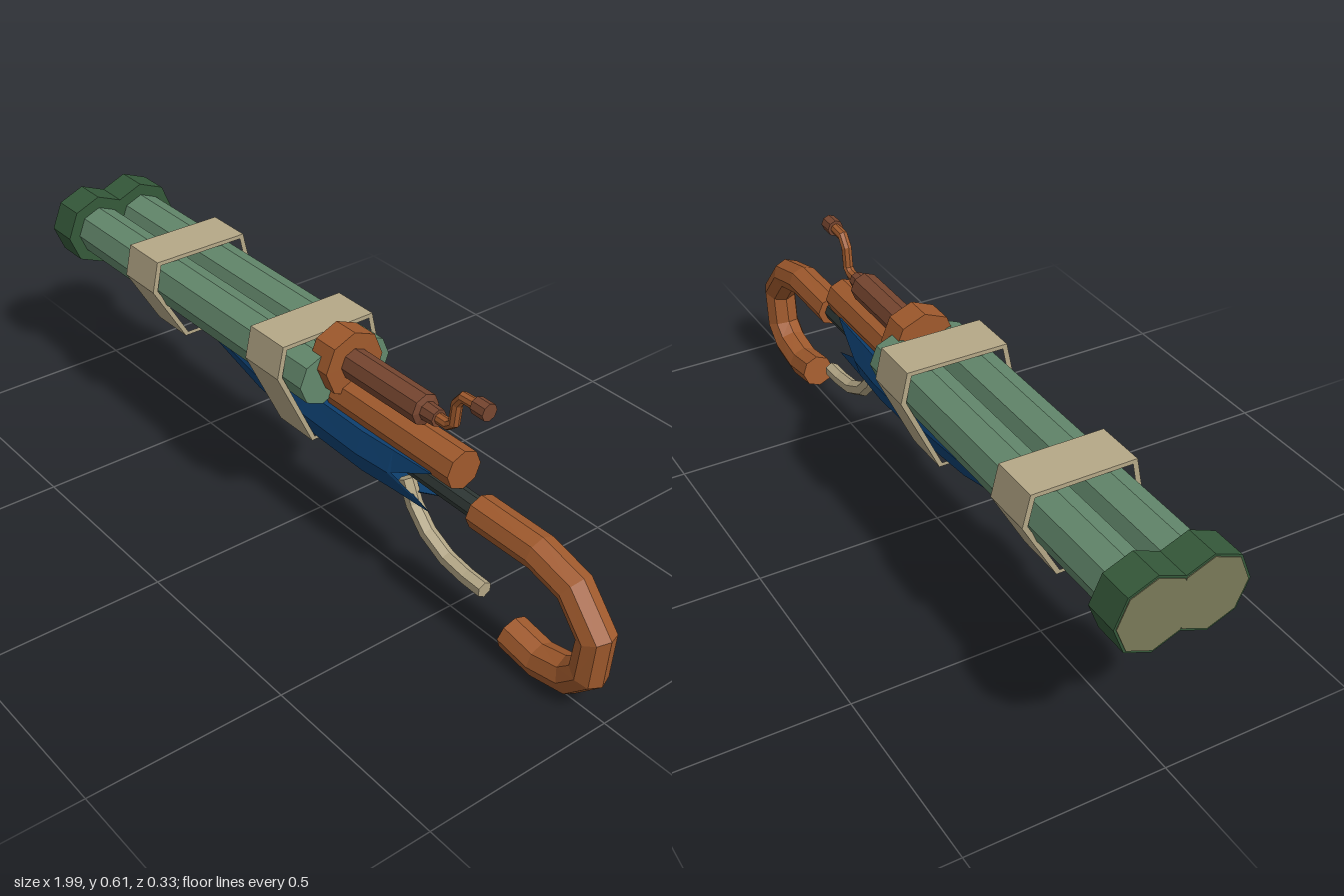
import * as THREE from 'three';

const mat = (name, color, side = THREE.FrontSide) => {
  const m = new THREE.MeshStandardMaterial({ color, flatShading: true, side });
  m.name = name;
  return m;
};

// Skins a list of equal-length rings, with optional flat ends
function loft(rings, capStart = true, capEnd = true) {
  const pos = [], n = rings[0].length;
  const tri = (...ps) => ps.forEach(p => pos.push(p.x, p.y, p.z));
  for (let i = 0; i < rings.length - 1; i++) {
    for (let j = 0; j < n; j++) {
      const k = (j + 1) % n, a = rings[i], b = rings[i + 1];
      tri(a[j], a[k], b[k]);
      tri(a[j], b[k], b[j]);
    }
  }
  const cap = (ring, flip) => {
    const c = ring.reduce((s, p) => s.add(p), new THREE.Vector3()).divideScalar(n);
    for (let j = 0; j < n; j++) {
      const p = ring[j], q = ring[(j + 1) % n];
      flip ? tri(c, q, p) : tri(c, p, q);
    }
  };
  if (capStart) cap(rings[0], true);
  if (capEnd) cap(rings[rings.length - 1], false);
  const g = new THREE.BufferGeometry();
  g.setAttribute('position', new THREE.Float32BufferAttribute(pos, 3));
  g.computeVertexNormals();
  return g;
}

// Rings along a path of [x, y, radius in plane, radius across]
function pathRings(path, sides = 8, turn = 0) {
  return path.map(([x, y, rn, rz = rn], i) => {
    const a = path[Math.max(i - 1, 0)], b = path[Math.min(i + 1, path.length - 1)];
    const t = new THREE.Vector2(b[0] - a[0], b[1] - a[1]).normalize();
    return Array.from({ length: sides }, (_, j) => {
      const u = turn + j / sides * Math.PI * 2, c = Math.cos(u) * rn;
      return new THREE.Vector3(x - t.y * c, y + t.x * c, Math.sin(u) * rz);
    });
  });
}

export function createModel() {
  const group = new THREE.Group();
  const green = mat('barrelGreen', 0x63886c);
  const darkGreen = mat('capGreen', 0x35593a);
  const olive = mat('muzzleOlive', 0x7a7a58);
  const wood = mat('wood', 0xa05a2d);
  const darkWood = mat('darkWood', 0x774630);
  const tan = mat('strapTan', 0xb5a887);
  const blue = mat('canopyBlue', 0x0e4172, THREE.DoubleSide);
  const dark = mat('shaftDark', 0x2f3835);

  const add = (name, geo, material, z = 0) => {
    const m = new THREE.Mesh(geo, material);
    m.name = name;
    m.position.z = z;
    group.add(m);
    return m;
  };
  const sweep = (name, path, material, sides = 8, z = 0) =>
    add(name, loft(pathRings(path, sides)), material, z);

  // Twin barrels with muzzle caps
  for (const [side, z] of [['left', 0.068], ['right', -0.068]]) {
    sweep(side + 'Barrel', [[-0.95, 0.46, 0.067], [0.095, 0.46, 0.067]], green, 8, z);
    sweep(side + 'MuzzleCap', [[-0.998, 0.46, 0.099], [-0.91, 0.46, 0.099]], darkGreen, 8, z);
    sweep(side + 'MuzzleFace', [[-1, 0.46, 0.093], [-0.997, 0.46, 0.093]], olive, 8, z);
  }

  // Straps wrapped around barrels and umbrella
  const loop = (half, Type) => new Type([
    ...half, ...half.slice().reverse().map(([x, y]) => [-x, y]),
  ].map(p => new THREE.Vector2(...p)));
  for (const [name, x, low, w] of [['frontStrap', -0.64, 0.3, 0.06], ['rearStrap', -0.1, 0.245, 0.05]]) {
    const shape = loop([[0.135, 0.542], [0.153, 0.46], [w, low]], THREE.Shape);
    shape.holes.push(loop([[0.124, 0.531], [0.139, 0.461], [w - 0.008, low + 0.01]], THREE.Path));
    const geo = new THREE.ExtrudeGeometry(shape, { depth: 0.13, bevelEnabled: false });
    geo.rotateY(Math.PI / 2).translate(x, 0, 0);
    add(name, geo, tan);
  }

  // Crank assembly
  sweep('crankPlate', [[0.06, 0.495, 0.085], [0.13, 0.495, 0.085]], wood);
  sweep('crankHousing', [[0.13, 0.497, 0.04], [0.385, 0.497, 0.04], [0.39, 0.497, 0.024],
    [0.43, 0.497, 0.022]], darkWood);
  sweep('crankArm', [[0.42, 0.497, 0.014], [0.462, 0.497, 0.014], [0.48, 0.51, 0.014],
    [0.486, 0.565, 0.014], [0.505, 0.59, 0.014], [0.56, 0.592, 0.014]], wood);
  sweep('crankKnob', [[0.548, 0.592, 0.022], [0.588, 0.592, 0.022]], darkWood);
  sweep('stock', [[0.08, 0.405, 0.05], [0.52, 0.405, 0.05]], wood);

  // Folded umbrella: dark tip and shaft, blue canopy with a jagged hem
  sweep('umbrellaTip', [[-0.83, 0.376, 0.014], [-0.815, 0.376, 0.022],
    [-0.6, 0.363, 0.031], [-0.4, 0.35, 0.04]], dark);
  sweep('umbrellaShaft', [[-0.4, 0.348, 0.025], [0.3, 0.33, 0.027], [0.6, 0.327, 0.027]], dark);
  const canopy = pathRings([[-0.4, 0.35, 0.041, 0.041], [-0.2, 0.33, 0.068, 0.058],
    [0, 0.32, 0.077, 0.066], [0.22, 0.315, 0.079, 0.067], [0.33, 0.32, 0.077, 0.063]], 8);
  const hem = pathRings([[0.34, 0.325, 0.076, 0.06], [0.35, 0.325, 0.076, 0.06]], 8)[0];
  hem.forEach((p, j) => { if (j % 2) p.x = 0.46; });
  add('canopy', loft([...canopy, hem], false, false), blue);

  // Hooked handle
  sweep('hookHandle', [[0.58, 0.328, 0.043, 0.046], [0.77, 0.328, 0.042, 0.046],
    [0.875, 0.3, 0.043, 0.046], [0.95, 0.212, 0.045, 0.046], [0.94, 0.11, 0.046],
    [0.89, 0.064, 0.046], [0.8, 0.046, 0.044, 0.046], [0.705, 0.062, 0.044, 0.046]], wood);

  // Curved trigger
  sweep('trigger', [[0.33, 0.28, 0.021], [0.36, 0.22, 0.021], [0.41, 0.168, 0.021],
    [0.48, 0.134, 0.021], [0.55, 0.123, 0.021], [0.61, 0.121, 0.021]], tan, 6);

  return group;
}
